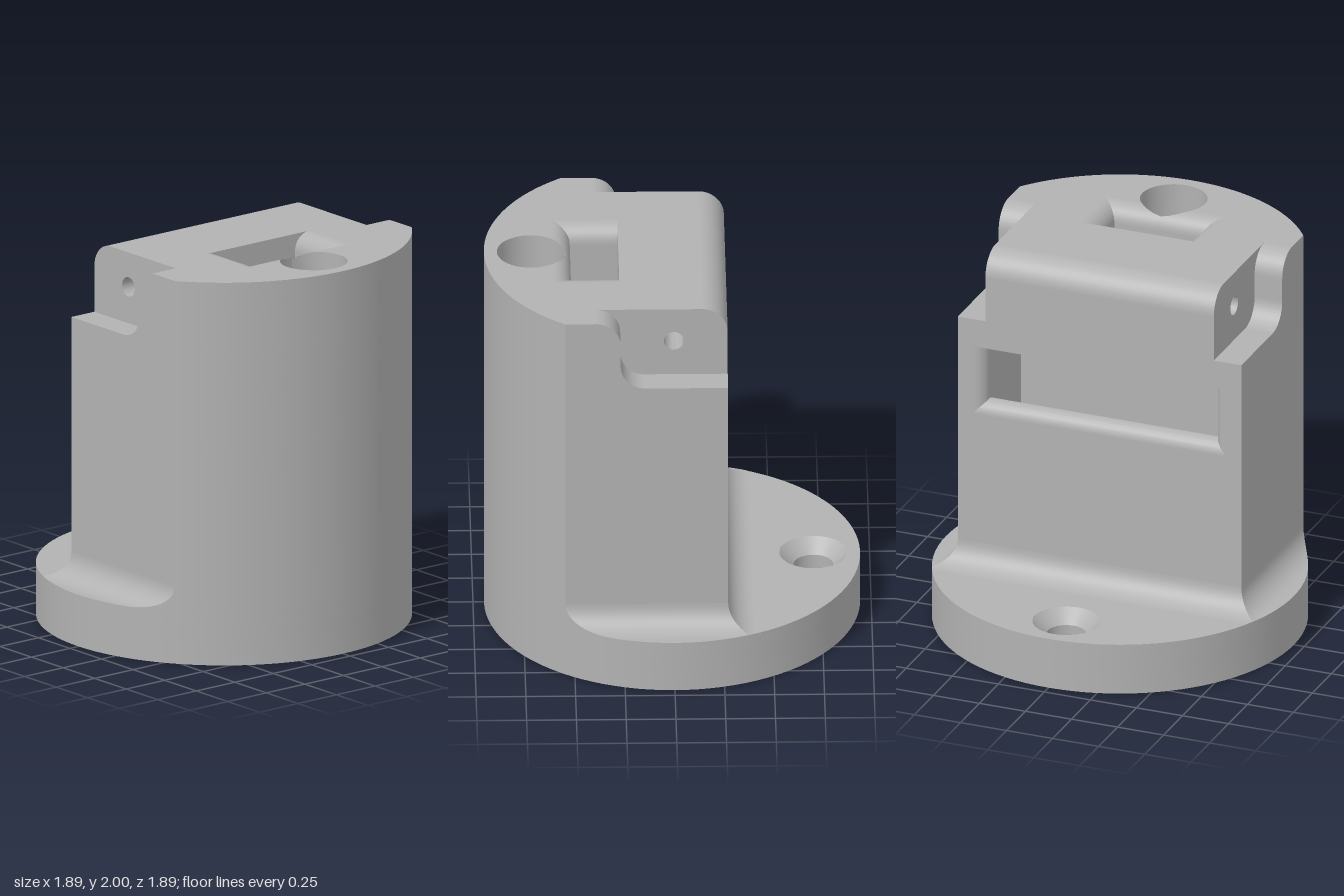
import * as THREE from 'three';
import { toCreasedNormals } from 'three/addons/utils/BufferGeometryUtils.js';

const R = 0.945;            // base radius
const W = 0.77;             // tower half depth
const FLAT = -0.27;         // flat tower face
const BASE = 0.27, LEDGE = 1.63, TOP = 2;
const HOLE_X = 0.71, BORE = 0.17, SHANK = 0.1;
const PI = Math.PI;

export function createModel() {
  const model = new THREE.Group();
  const grey = new THREE.MeshStandardMaterial({ color: 0xb2b2b2, side: THREE.DoubleSide });
  grey.name = 'grey';

  const add = (name, geometry) => {
    const mesh = new THREE.Mesh(geometry, grey);
    mesh.name = name;
    model.add(mesh);
    return mesh;
  };

  const shapeOf = (points) => new THREE.Shape(points.map(([x, y]) => new THREE.Vector2(x, y)));
  const rectHole = (w, d) => shapeOf([[-w, -d], [-w, d], [w, d], [w, -d]]);
  const roundHole = (x, y, r) => new THREE.Path().absarc(x, y, r, 0, 2 * PI, true);
  const extrude = (shape, depth) => toCreasedNormals(
    new THREE.ExtrudeGeometry(shape, { depth, bevelEnabled: false, curveSegments: 48 }), 0.5);

  // horizontal slice: plan outline raised from y0 to y1
  const slab = (name, shape, holes, y0, y1) => {
    shape.holes.push(...holes);
    add(name, extrude(shape, y1 - y0).rotateX(-PI / 2).translate(0, y0, 0));
  };
  // side profile in x and y swept from z0 to z1
  const sweep = (name, shape, z0, z1) => add(name, extrude(shape, z1 - z0).translate(0, 0, z0));

  // smooth patch from a rule f(u, v) -> [x, y, z]
  const patch = (name, f, nu = 12, nv = 8) => {
    const pos = [], index = [];
    for (let i = 0; i <= nu; i++) for (let j = 0; j <= nv; j++) pos.push(...f(i / nu, j / nv));
    for (let i = 0; i < nu; i++) for (let j = 0; j < nv; j++) {
      const a = i * (nv + 1) + j, b = a + nv + 1;
      index.push(a, b, a + 1, b, b + 1, a + 1);
    }
    const g = new THREE.BufferGeometry();
    g.setAttribute('position', new THREE.Float32BufferAttribute(pos, 3));
    g.setIndex(index);
    g.computeVertexNormals();
    add(name, g);
  };

  const chord = Math.sqrt(R * R - W * W);
  const arcEnd = Math.atan2(W, chord);
  const towerOutline = () => new THREE.Shape()
    .moveTo(FLAT, -W).lineTo(chord, -W)
    .absarc(0, 0, R, -arcEnd, arcEnd, false)
    .lineTo(FLAT, W);
  const disc = () => new THREE.Shape().absarc(0, 0, R, 0, 2 * PI, false);
  const slot = () => rectHole(0.2, 0.62);
  const bore = () => roundHole(HOLE_X, 0, BORE);

  // round base with slot and countersunk screw holes
  const screwHoles = (r) => [-HOLE_X, HOLE_X].map((x) => roundHole(x, 0, r));
  slab('baseLower', disc(), [...screwHoles(SHANK), slot()], 0, 0.2);
  slab('baseUpper', disc(), [...screwHoles(BORE), slot()], 0.2, BASE);
  for (const x of [-HOLE_X, HOLE_X]) {
    const cone = new THREE.LatheGeometry(
      [new THREE.Vector2(BORE, BASE), new THREE.Vector2(SHANK, 0.2)], 48);
    add('countersink', cone.translate(x, 0, 0));
  }

  // tower body, hollow up to the window top
  slab('towerLower', towerOutline(), [bore(), slot()], BASE, 1.11);
  const windowLayer = towerOutline()
    .lineTo(FLAT, 0.69).absarc(FLAT, 0.62, 0.07, PI / 2, 0, true)
    .lineTo(0.2, 0.62).lineTo(0.2, -0.62).lineTo(-0.2, -0.62)
    .absarc(FLAT, -0.62, 0.07, 0, -PI / 2, true);
  // rounded window cheeks bulge outward from the cavity wall
  const cheeks = towerOutline();
  cheeks.lineTo(FLAT, 0.69).absarc(-0.2, 0.69, 0.07, PI, 1.5 * PI, false)
    .lineTo(0.2, 0.62).lineTo(0.2, -0.62).lineTo(-0.2, -0.62)
    .absarc(-0.2, -0.69, 0.07, PI / 2, PI, false);
  slab('windowLayer', cheeks, [bore()], 1.11, 1.48);
  const lip = new THREE.Shape().moveTo(-0.2, 1.11)
    .absarc(-0.2, 1.11, 0.07, PI / 2, PI, false).lineTo(-0.2, 1.11);
  sweep('windowLip', lip, -0.69, 0.69);
  slab('towerUpper', towerOutline(), [bore()], 1.48, LEDGE);

  // head block with rounded front top edge and pin hole
  const head = new THREE.Shape().moveTo(FLAT, LEDGE).lineTo(0.27, LEDGE).lineTo(0.27, TOP)
    .lineTo(FLAT + 0.13, TOP).absarc(FLAT + 0.13, TOP - 0.13, 0.13, PI / 2, PI, false);
  head.holes.push(roundHole(0, 1.82, 0.05));
  sweep('headBlock', head, -0.62, 0.62);

  // S-curved shoulders beside the head
  for (const z0 of [-W, 0.62]) {
    const shoulder = new THREE.Shape().moveTo(0.5, LEDGE).lineTo(0.5, TOP).lineTo(0.395, TOP)
      .absarc(0.395, TOP - 0.125, 0.125, PI / 2, PI, false)
      .absarc(0.145, LEDGE + 0.125, 0.125, 0, -PI / 2, true);
    sweep('shoulder', shoulder, z0, z0 + 0.15);
  }

  // rear of the head, with the pocket and screw bore
  const rearOutline = () => new THREE.Shape().moveTo(0.27, -0.62).lineTo(0.5, -0.62)
    .lineTo(0.5, -W).lineTo(chord, -W).absarc(0, 0, R, -arcEnd, arcEnd, false)
    .lineTo(0.5, W).lineTo(0.5, 0.62).lineTo(0.27, 0.62);
  const F = 0.09, rimY = TOP - F;
  slab('rearLower', rearOutline().lineTo(0.27, 0.24).lineTo(0.51, 0.24)
    .lineTo(0.51, -0.24).lineTo(0.27, -0.24), [bore()], LEDGE, rimY);
  const cut = Math.acos((0.51 + F - HOLE_X) / BORE);
  slab('rearUpper', rearOutline().lineTo(0.27, 0.24 + F).lineTo(0.51 + F, 0.24 + F)
    .absarc(HOLE_X, 0, BORE, cut, -cut, true)
    .lineTo(0.51 + F, -0.24 - F).lineTo(0.27, -0.24 - F), [], rimY, TOP);

  // rounded pocket rim, mitred at the corners and cut by the bore
  const boreZ = (x) => Math.sqrt(Math.max(0, BORE ** 2 - (x - HOLE_X) ** 2));
  const rim = (u) => [F * (1 - Math.cos(u * PI / 2)), rimY + F * Math.sin(u * PI / 2)];
  for (const side of [-1, 1]) {
    patch('pocketSideRim', (u, v) => {
      const [s, y] = rim(u);
      return [0.27 + v * (0.24 + s), y, side * (0.24 + s)];
    });
    patch('pocketEndRim', (u, v) => {
      const [s, y] = rim(u), z = boreZ(0.51 + s);
      return [0.51 + s, y, side * (z + v * (0.24 + s - z))];
    });
    patch('boreRimWall', (u, v) => {
      const [s, y] = rim(u), x = Math.max(0.51 + s, HOLE_X - BORE);
      return [x, rimY + v * (y - rimY), side * boreZ(x)];
    }, 12, 1);
  }

  // concave fillets where the tower meets the base, trimmed by the base edge
  const r = 0.13;
  const fillet = (u) => [r * (1 - Math.cos(u * PI / 2)), BASE + r * (1 - Math.sin(u * PI / 2))];
  const edge = (a) => Math.sqrt(R * R - a * a);
  for (const side of [-1, 1]) {
    patch('sideFillet', (u, v) => {
      const [s, y] = fillet(u), z = W + s, x0 = Math.max(FLAT - s, -edge(z));
      return [x0 + v * (edge(z) - x0), y, side * z];
    });
    patch('filletEnd', (u, v) => {
      const [s, y] = fillet(u), z = W + s;
      return [edge(z), BASE + v * (y - BASE), side * z];
    }, 12, 1);
  }
  patch('flatFaceFillet', (u, v) => {
    const [s, y] = fillet(u), x = FLAT - s, z = Math.min(W + s, edge(x));
    return [x, y, (2 * v - 1) * z];
  });

  return model;
}
